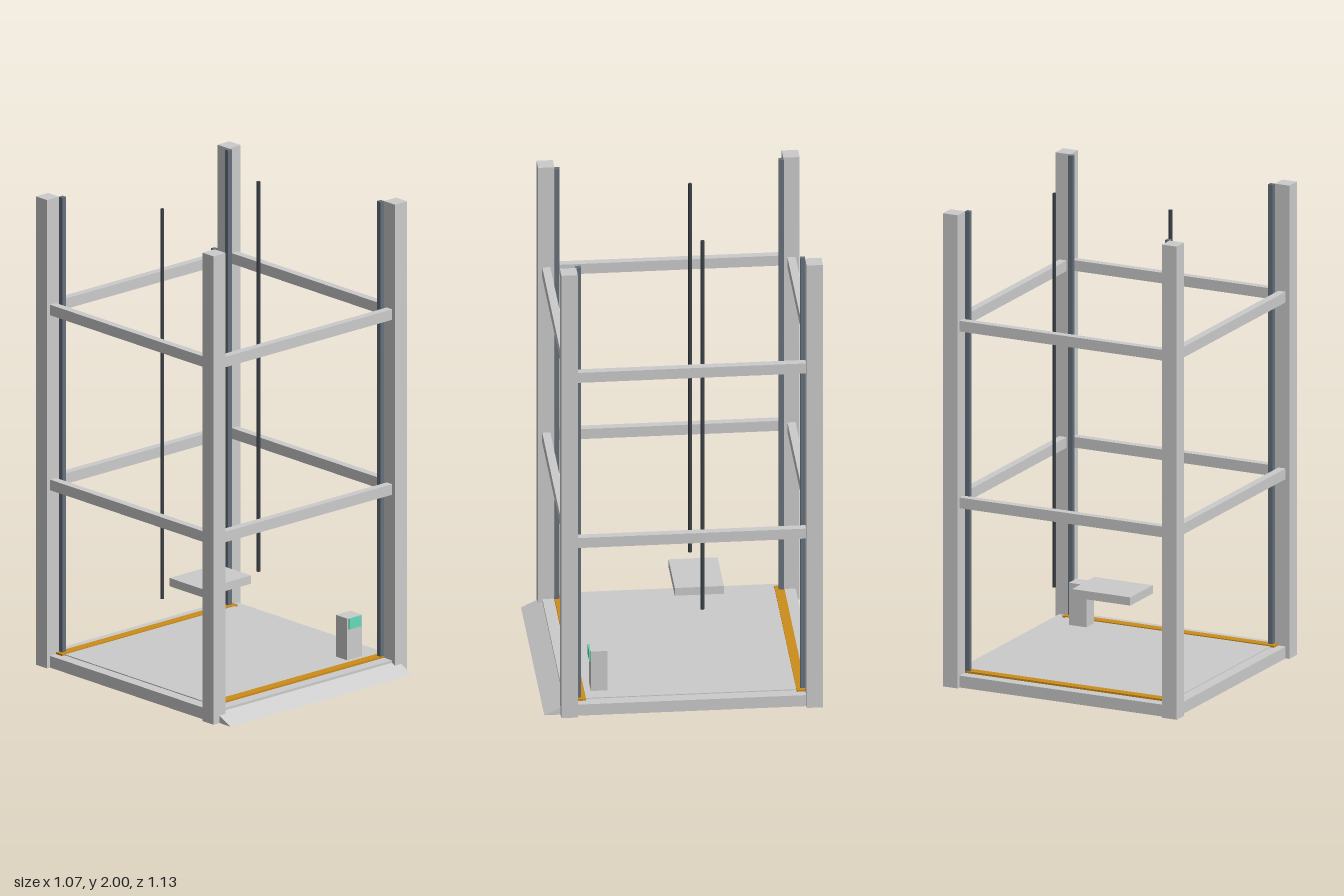
import * as THREE from 'three';

export function createModel() {
  const model = new THREE.Group();
  const mat = (color) => new THREE.MeshStandardMaterial({ color, flatShading: true });
  const grey = mat(0xcccccc), railMat = mat(0x66707a), rodMat = mat(0x3c4147);
  const amber = mat(0xcc8c1a), teal = mat(0x66d9b8);

  const add = (name, geometry, material) => {
    const mesh = new THREE.Mesh(geometry, material);
    mesh.name = name;
    model.add(mesh);
    return mesh;
  };
  // Box given by its extents on each axis
  const box = (name, [x0, x1], [y0, y1], [z0, z1], material = grey) =>
    add(name, new THREE.BoxGeometry(x1 - x0, y1 - y0, z1 - z0), material)
      .position.set((x0 + x1) / 2, (y0 + y1) / 2, (z0 + z1) / 2);

  const midZ = -0.033; // centre of the square frame, ahead of which the ramp projects
  const height = 2;

  // Base and floor plate
  box('base', [-0.517, 0.517], [0, 0.05], [-0.55, 0.483]);
  box('floorPlate', [-0.467, 0.467], [0.05, 0.054], [-0.5, 0.433]);

  // Corner posts with a guide rail on each inner corner
  for (const sx of [-1, 1]) {
    for (const sz of [-1, 1]) {
      const post = add('cornerPost', new THREE.BoxGeometry(0.067, height, 0.067), grey);
      post.position.set(sx * 0.5, height / 2, midZ + sz * 0.5);
      const rail = add('guideRail', new THREE.BoxGeometry(0.02, height - 0.05, 0.02), railMat);
      rail.position.set(sx * 0.457, (height + 0.05) / 2, midZ + sz * 0.457);
    }
  }

  // Two levels of cross beams around the frame
  for (const y of [0.78, 1.527]) {
    for (const s of [-1, 1]) {
      const across = add('crossBeam', new THREE.BoxGeometry(0.934, 0.045, 0.033), grey);
      across.position.set(0, y, midZ + s * 0.5);
      const side = add('sideBeam', new THREE.BoxGeometry(0.033, 0.045, 0.934), grey);
      side.position.set(s * 0.5, y, midZ);
    }
  }

  // Coloured threshold strips at both entrances
  box('frontThreshold', [-0.483, 0.483], [0.05, 0.058], [0.395, 0.435], amber);
  box('backThreshold', [-0.483, 0.483], [0.05, 0.058], [-0.503, -0.464], amber);

  // Wedge ramp: profile in the z-y plane, extruded across x
  const wedge = new THREE.Shape([
    new THREE.Vector2(-0.567, 0),
    new THREE.Vector2(-0.483, 0),
    new THREE.Vector2(-0.483, 0.04),
  ]);
  const ramp = new THREE.ExtrudeGeometry(wedge, { depth: 1, bevelEnabled: false });
  ramp.translate(0, 0, -0.5).rotateY(Math.PI / 2);
  add('ramp', ramp, grey);

  // Hanging rods and the block between them
  for (const s of [-1, 1]) {
    const rod = add('rod', new THREE.CylinderGeometry(0.008, 0.008, height - 0.335, 8), rodMat);
    rod.position.set(s * 0.265, (height + 0.335) / 2, -0.1);
  }
  box('driveBlock', [-0.133, 0.133], [0.335, 0.37], [-0.2, 0]);

  // Control pedestal with a screen on its front
  box('controlPedestal', [0.324, 0.405], [0.05, 0.232], [0.3, 0.368]);
  box('controlScreen', [0.331, 0.398], [0.185, 0.23], [0.366, 0.374], teal);

  return model;
}
